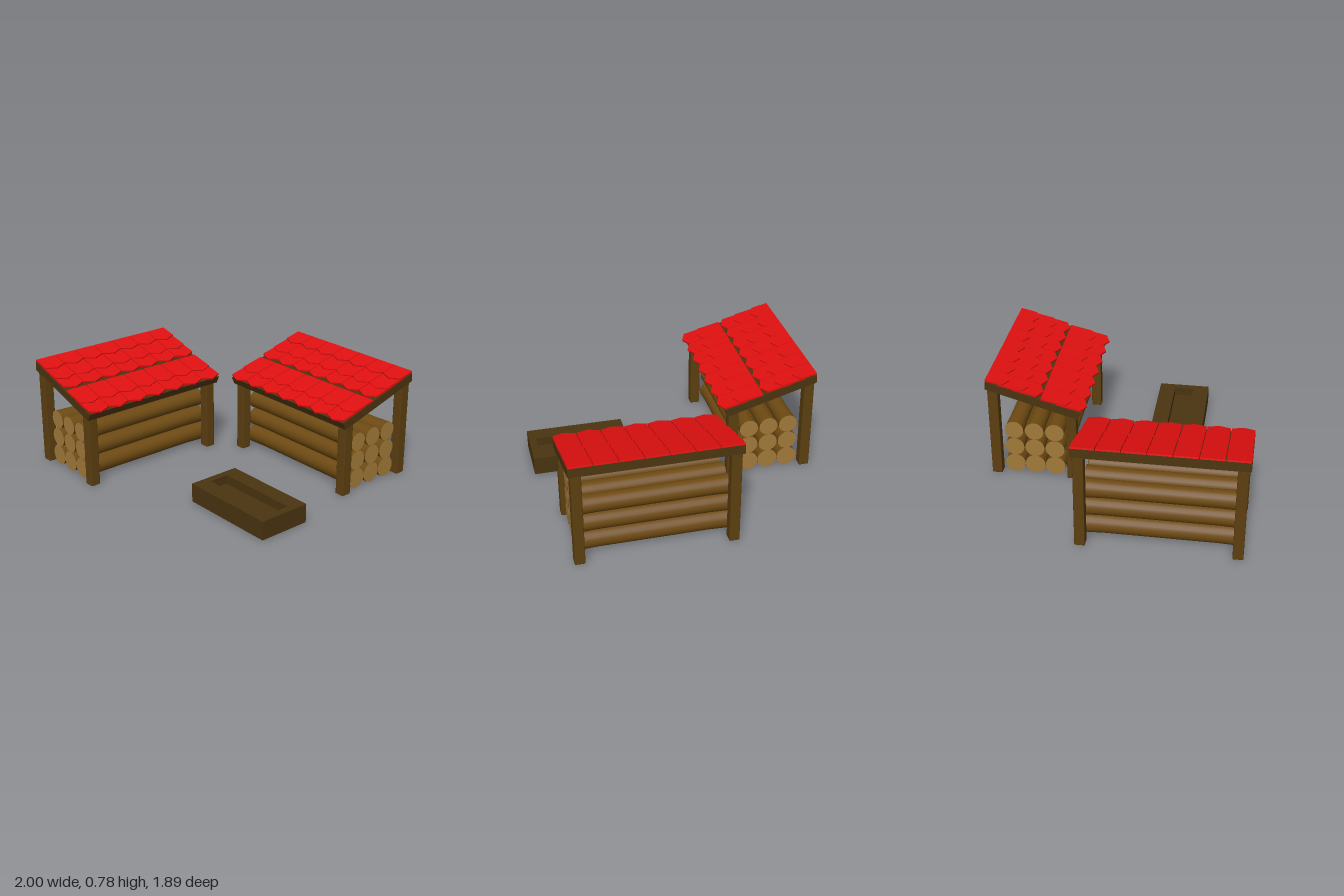
import * as THREE from 'three';
import { RoundedBoxGeometry } from 'three/addons/geometries/RoundedBoxGeometry.js';

const mat = (color, extra = {}) => new THREE.MeshStandardMaterial({ color, ...extra });
const postMat = mat(0x5c3f10);
const barkMat = mat(0x6e4a12);
const cutMat = mat(0xa27a3a);
const boardMat = mat(0x4a3410);
const tileMat = mat(0xe01010);

function add(parent, name, geometry, material, x = 0, y = 0, z = 0) {
  const mesh = new THREE.Mesh(geometry, material);
  mesh.name = name;
  mesh.position.set(x, y, z);
  parent.add(mesh);
  return mesh;
}

function polygon(points) {
  return new THREE.Shape(points.map(([x, y]) => new THREE.Vector2(x, y)));
}

// Log lying along x: flared bark with a pale cut disc on each end
function createLog(radius, halfLength) {
  const log = new THREE.Group();
  log.name = 'log';
  const waist = radius * 0.93;
  const profile = [[radius, -1], [waist, -0.72], [waist, 0.72], [radius, 1]]
    .map(([r, t]) => new THREE.Vector2(r, t * halfLength));
  add(log, 'bark', new THREE.LatheGeometry(profile, 20).rotateZ(-Math.PI / 2), barkMat);
  for (const side of [-1, 1]) {
    const disc = new THREE.CircleGeometry(radius, 20).rotateY(side * Math.PI / 2);
    add(log, 'cutEnd', disc, cutMat, side * halfLength);
  }
  return log;
}

// Pointed roof tile; its tip sits at the origin and it runs back along -z
function tileGeometry(width, length) {
  const w = width / 2;
  const shape = polygon([[-w, -length], [w, -length], [w, -0.034], [0, 0], [-w, -0.034]]);
  return new THREE.ExtrudeGeometry(shape, { depth: 0.012, bevelEnabled: false }).rotateX(Math.PI / 2);
}

// Lean-to shed, long along x, roof falling towards +z
function createShed(name) {
  const shed = new THREE.Group();
  shed.name = name;

  // Posts: tall at the back, short at the front
  for (const x of [-0.525, 0.525]) {
    for (const [z, height] of [[-0.2975, 0.7], [0.2575, 0.55]]) {
      add(shed, 'post', new RoundedBoxGeometry(0.072, height, 0.074, 1, 0.006), postMat, x, height / 2, z);
    }
  }

  // Stacked logs
  [[0.08, 0.074], [0.22, 0.07], [0.358, 0.068]].forEach(([y, radius]) => {
    for (const z of [-0.165, -0.0175, 0.13]) {
      const log = createLog(radius, 0.53);
      log.position.set(0, y, z);
      shed.add(log);
    }
  });

  // Sloping roof board
  const profile = polygon([[-0.345, 0.703], [0.31, 0.512], [0.335, 0.565], [-0.34, 0.765]]);
  const board = new THREE.ExtrudeGeometry(profile, { depth: 1.15, bevelEnabled: false });
  add(shed, 'roofBoard', board.rotateY(-Math.PI / 2).translate(0.575, 0, 0), boardMat);

  // Overlapping rows of tiles
  const columns = 7, pitch = 1.154 / columns;
  for (const tip of [-0.185, -0.05, 0.055, 0.255, 0.365]) {
    const geometry = tileGeometry(pitch - 0.006, Math.min(0.21, (tip + 0.34) / 0.976));
    const y = 0.765 - 0.296 * (tip + 0.34) + 0.026;
    for (let i = 0; i < columns; i++) {
      const tile = add(shed, 'roofTile', geometry, tileMat, (i - (columns - 1) / 2) * pitch, y, tip);
      tile.rotation.x = 0.225;
    }
  }
  return shed;
}

// Wooden trough with a rectangular recess
function createTrough() {
  const trough = new THREE.Group();
  trough.name = 'trough';
  const outline = polygon([[-0.36, -0.192], [0.36, -0.192], [0.36, 0.192], [-0.36, 0.192]]);
  outline.holes.push(polygon([[-0.307, -0.073], [-0.307, 0.073], [0.307, 0.073], [0.307, -0.073]]));
  const walls = new THREE.ExtrudeGeometry(outline, { depth: 0.135, bevelEnabled: false });
  add(trough, 'troughWalls', walls.rotateX(-Math.PI / 2), boardMat, 0, 0.005);
  add(trough, 'troughFloor', new THREE.BoxGeometry(0.62, 0.07, 0.15), boardMat, 0, 0.041);
  return trough;
}

export function createModel() {
  const model = new THREE.Group();
  model.name = 'woodSheds';

  const backShed = createShed('backShed');
  backShed.position.set(0.33, 0, -0.605);

  const sideShed = createShed('sideShed');
  sideShed.rotation.y = Math.PI / 2;
  sideShed.position.set(-0.655, 0, 0.368);

  const trough = createTrough();
  trough.position.set(0.64, 0, 0.343);

  model.add(backShed, sideShed, trough);
  return model;
}
